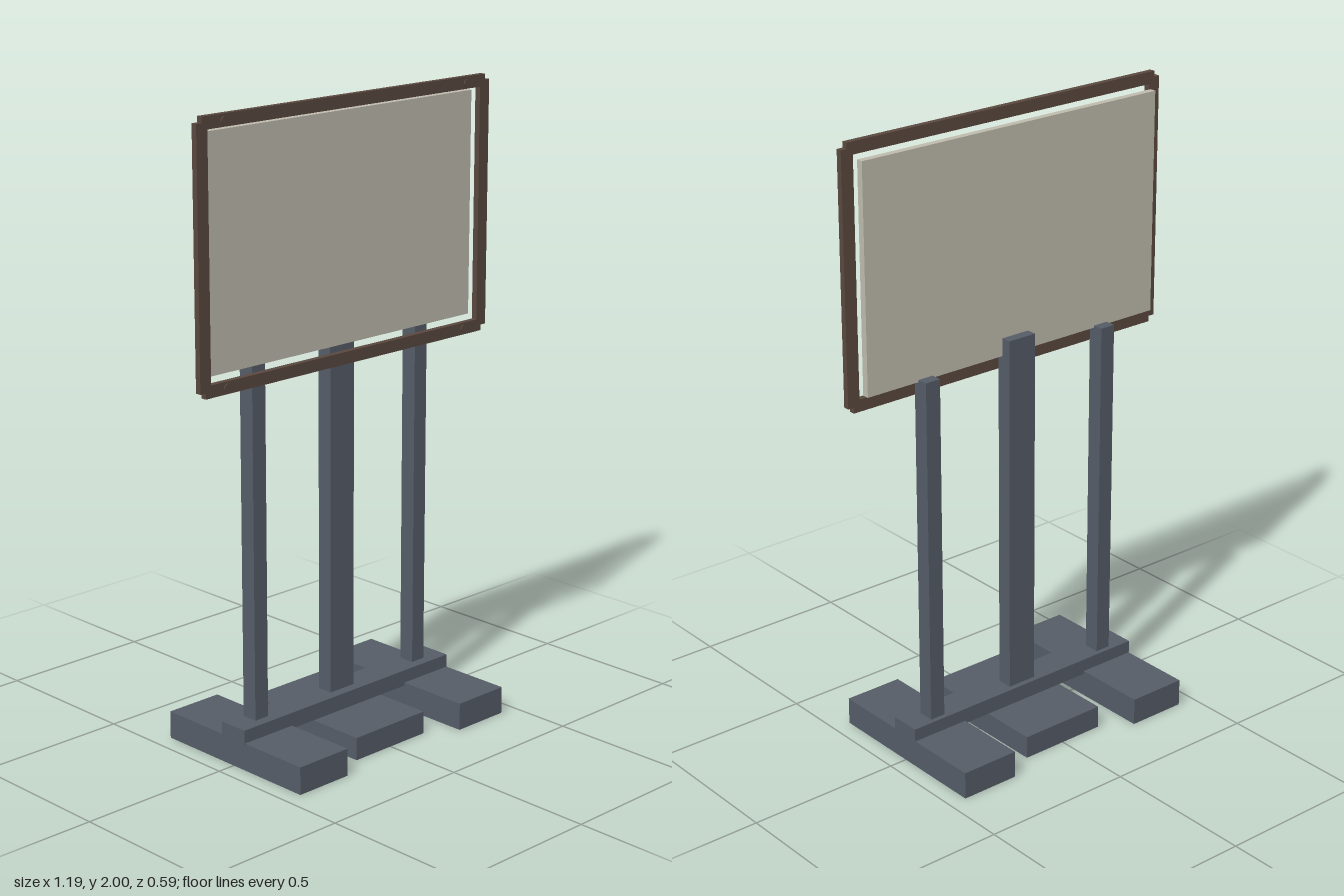
import * as THREE from 'three';

export function createModel() {
  const model = new THREE.Group();
  model.name = 'signStand';
  const material = (name, color) => {
    const m = new THREE.MeshStandardMaterial({ color });
    m.name = name;
    return m;
  };
  const slate = material('slate', 0x555c67);
  const brown = material('brown', 0x59483f);
  const cream = material('cream', 0xbebbad);

  const add = (name, geometry, mat) => {
    const mesh = new THREE.Mesh(geometry, mat);
    mesh.name = name;
    model.add(mesh);
    return mesh;
  };
  // Box given by its lower and upper limits on each axis
  const box = (name, mat, [x0, x1], [y0, y1], [z0, z1]) =>
    add(name, new THREE.BoxGeometry(x1 - x0, y1 - y0, z1 - z0), mat)
      .position.set((x0 + x1) / 2, (y0 + y1) / 2, (z0 + z1) / 2);

  // Base: three feet joined by a cross beam
  box('middleFoot', slate, [-0.147, 0.147], [0, 0.073], [-0.232, 0.232]);
  box('crossBeam', slate, [-0.442, 0.442], [0.078, 0.13], [-0.051, 0.051]);
  box('middlePost', slate, [-0.05, 0.05], [0.13, 1.3], [-0.033, 0.018]);

  for (const [side, s] of [['left', 1], ['right', -1]]) {
    const span = (a, b) => (s > 0 ? [a, b] : [-b, -a]);
    box(side + 'Foot', slate, span(0.246, 0.441), [0, 0.088], [-0.293, 0.293]);
    box(side + 'Post', slate, span(0.315, 0.367), [0.13, 1.25], [-0.035, 0.018]);
  }

  // Display panel
  box('panel', cream, [-0.551, 0.551], [1.243, 1.95], [0, 0.022]);

  // Frame outline with stepped corners and a rectangular opening
  const yMid = 1.595;
  const corner = [[0.597, 0.387], [0.577, 0.387], [0.577, 0.405]];
  const outline = [];
  for (const [sx, sy] of [[1, 1], [-1, 1], [-1, -1], [1, -1]]) {
    const points = corner.map(([x, y]) => new THREE.Vector2(x * sx, yMid + y * sy));
    outline.push(...(sx * sy > 0 ? points : points.reverse()));
  }
  const frame = new THREE.Shape(outline);
  const [w, h] = [0.556, 0.367];
  frame.holes.push(new THREE.Path([[-w, -h], [-w, h], [w, h], [w, -h]]
    .map(([x, y]) => new THREE.Vector2(x, yMid + y))));
  add('frame', new THREE.ExtrudeGeometry(frame, { depth: 0.019, bevelEnabled: false }), brown)
    .position.z = 0.034;

  // Small studs near the ends of the top and bottom rails
  const stud = new THREE.CylinderGeometry(0.012, 0.012, 0.004, 12).rotateX(Math.PI / 2);
  for (const x of [-0.495, 0.495]) {
    for (const y of [1.21, 1.98]) add('frameStud', stud, brown).position.set(x, y, 0.055);
  }
  return model;
}
